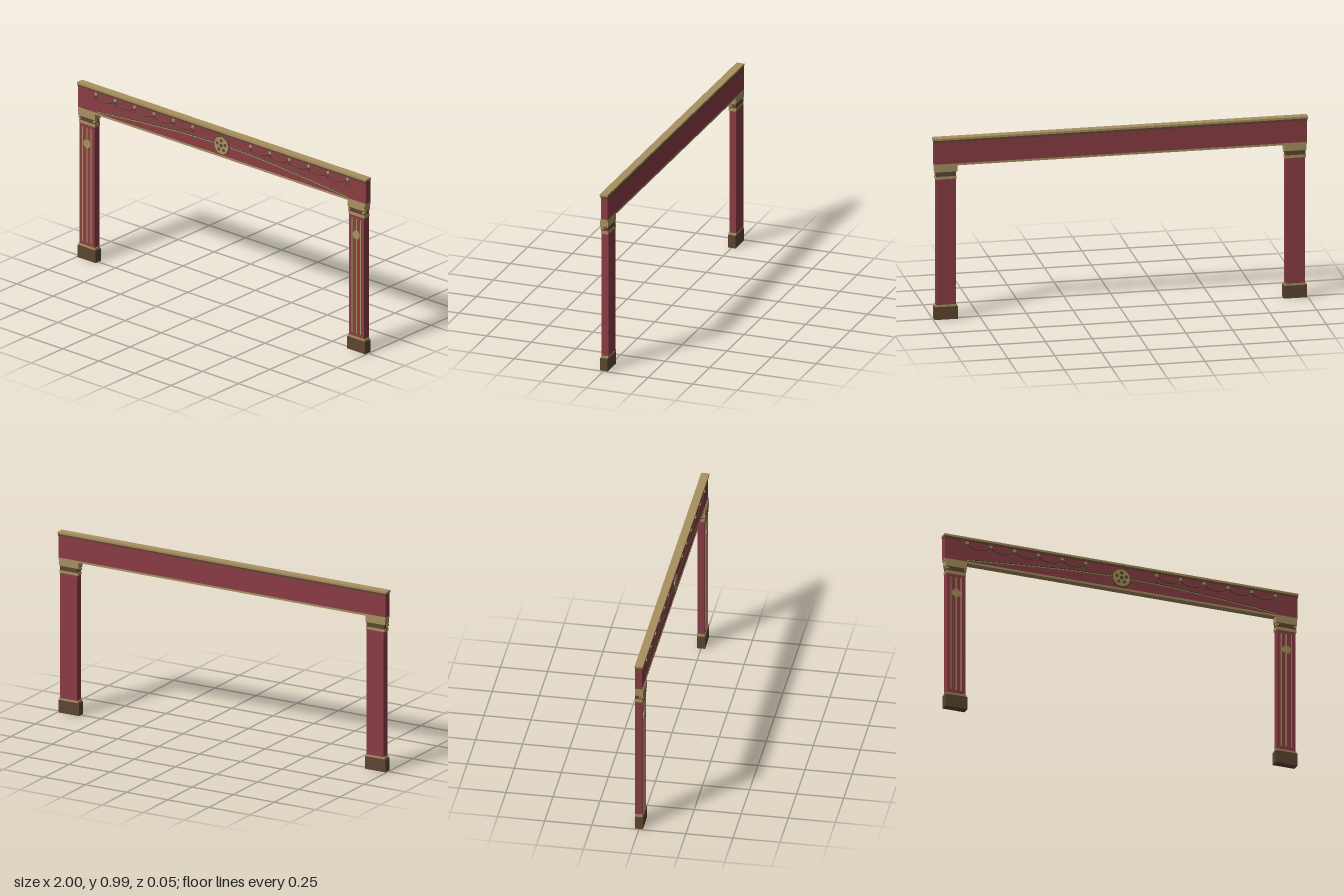
import * as THREE from 'three';

const red = new THREE.MeshStandardMaterial({ color: 0x8a3c44 });
const gold = new THREE.MeshStandardMaterial({ color: 0xa89060 });
const brown = new THREE.MeshStandardMaterial({ color: 0x5c4630 });
const BACK = -0.022;
const FACE = 0.016;

function add(parent, name, geometry, material, x = 0, y = 0, z = 0) {
  const mesh = new THREE.Mesh(geometry, material);
  mesh.name = name;
  mesh.position.set(x, y, z);
  parent.add(mesh);
  return mesh;
}

// Block given by its width, its y range and its front; the back is flush
function block(parent, name, material, x, w, y0, y1, front, back = BACK) {
  return add(parent, name, new THREE.BoxGeometry(w, y1 - y0, front - back), material,
    x, (y0 + y1) / 2, (front + back) / 2);
}

// Round disc facing the front
function disc(parent, name, material, x, y, r, z0, z1, sides = 24) {
  const geometry = new THREE.CylinderGeometry(r, r, z1 - z0, sides).rotateX(Math.PI / 2);
  return add(parent, name, geometry, material, x, y, (z0 + z1) / 2);
}

// Rod swept through a few points on the face of the beam
function rod(parent, name, material, points, r, segments = 12) {
  const path = new THREE.CatmullRomCurve3(points.map(([x, y]) => new THREE.Vector3(x, y, FACE)));
  return add(parent, name, new THREE.TubeGeometry(path, segments, r, 6), material);
}

function createPillar(side) {
  const pillar = new THREE.Group();
  pillar.name = side > 0 ? 'leftPillar' : 'rightPillar';
  pillar.position.x = side * 0.932;

  // Plinth and shaft
  block(pillar, 'plinth', brown, 0, 0.124, 0, 0.07, 0.021);
  block(pillar, 'plinthMoulding', gold, 0, 0.114, 0.07, 0.082, 0.018);
  block(pillar, 'shaft', red, 0, 0.104, 0.082, 0.77, FACE);

  // Capital
  block(pillar, 'capitalNeck', gold, 0, 0.112, 0.768, 0.785, 0.018);
  block(pillar, 'capitalBand', brown, 0, 0.106, 0.785, 0.809, 0.018);
  block(pillar, 'capitalBlock', gold, 0, 0.118, 0.809, 0.842, 0.021);
  for (const s of [-1, 1]) {
    block(pillar, 'capitalScroll', gold, s * 0.05, 0.014, 0.793, 0.804, 0.021, 0);
  }

  // Raised reeds and a rosette on the shaft
  for (const x of [-0.029, 0, 0.029]) {
    block(pillar, 'reed', gold, x, 0.007, 0.1, 0.75, 0.0185, FACE - 0.002);
  }
  disc(pillar, 'shaftRosette', gold, 0, 0.66, 0.024, FACE - 0.002, 0.02);
  return pillar;
}

function createBeam() {
  const beam = new THREE.Group();
  beam.name = 'beam';
  block(beam, 'lowerMoulding', gold, 0, 1.99, 0.842, 0.853, 0.0175);
  block(beam, 'frieze', red, 0, 1.99, 0.853, 0.972, FACE);
  block(beam, 'corniceBand', brown, 0, 1.992, 0.971, 0.982, 0.019);
  block(beam, 'cornice', gold, 0, 2, 0.982, 0.993, 0.021);
  return beam;
}

function createOrnament(side) {
  const ornament = new THREE.Group();
  ornament.name = side > 0 ? 'leftOrnament' : 'rightOrnament';

  // Shallow arch rising to the medallion
  const arch = (dy) => [[0.87, 0.866], [0.66, 0.884], [0.45, 0.9], [0.25, 0.913], [0.04, 0.919]]
    .map(([x, y]) => [side * x, y + dy]);
  rod(ornament, 'archRod', brown, arch(0), 0.0045, 30);
  rod(ornament, 'archTrim', gold, arch(-0.007), 0.003, 30);

  // Hanging swags with a knot and ribbon tails at each end
  const step = 0.134;
  for (let i = 0; i < 6; i++) {
    const x = side * (0.2 + i * step);
    disc(ornament, 'knot', gold, x, 0.96, 0.009, FACE - 0.002, 0.021, 12);
    for (const s of [-1, 1]) {
      rod(ornament, 'ribbonTail', brown, [[x, 0.957], [x + s * 0.003, 0.942], [x + s * 0.01, 0.926]], 0.0025, 5);
    }
    if (i === 5) continue;
    const swag = [[0, 0.957], [0.2, 0.938], [0.5, 0.93], [0.8, 0.938], [1, 0.957]]
      .map(([t, y]) => [x + side * t * step, y]);
    rod(ornament, 'swag', brown, swag, 0.004, 16);
  }
  return ornament;
}

function createMedallion() {
  const medallion = new THREE.Group();
  medallion.name = 'medallion';
  medallion.position.y = 0.91;
  disc(medallion, 'medallionRim', brown, 0, 0, 0.053, FACE - 0.002, 0.02, 32);
  disc(medallion, 'medallionFace', gold, 0, 0, 0.048, FACE, 0.022, 32);

  // Centre boss with a ring of five
  disc(medallion, 'boss', brown, 0, 0, 0.01, 0.02, 0.0235, 12);
  for (let i = 0; i < 5; i++) {
    const a = Math.PI / 2 + i * Math.PI * 0.4;
    disc(medallion, 'boss', brown, 0.028 * Math.cos(a), 0.028 * Math.sin(a), 0.009, 0.02, 0.0235, 12);
  }
  return medallion;
}

export function createModel() {
  const model = new THREE.Group();
  model.name = 'portal';
  model.add(createBeam(), createMedallion());
  for (const side of [-1, 1]) model.add(createPillar(side), createOrnament(side));
  return model;
}
